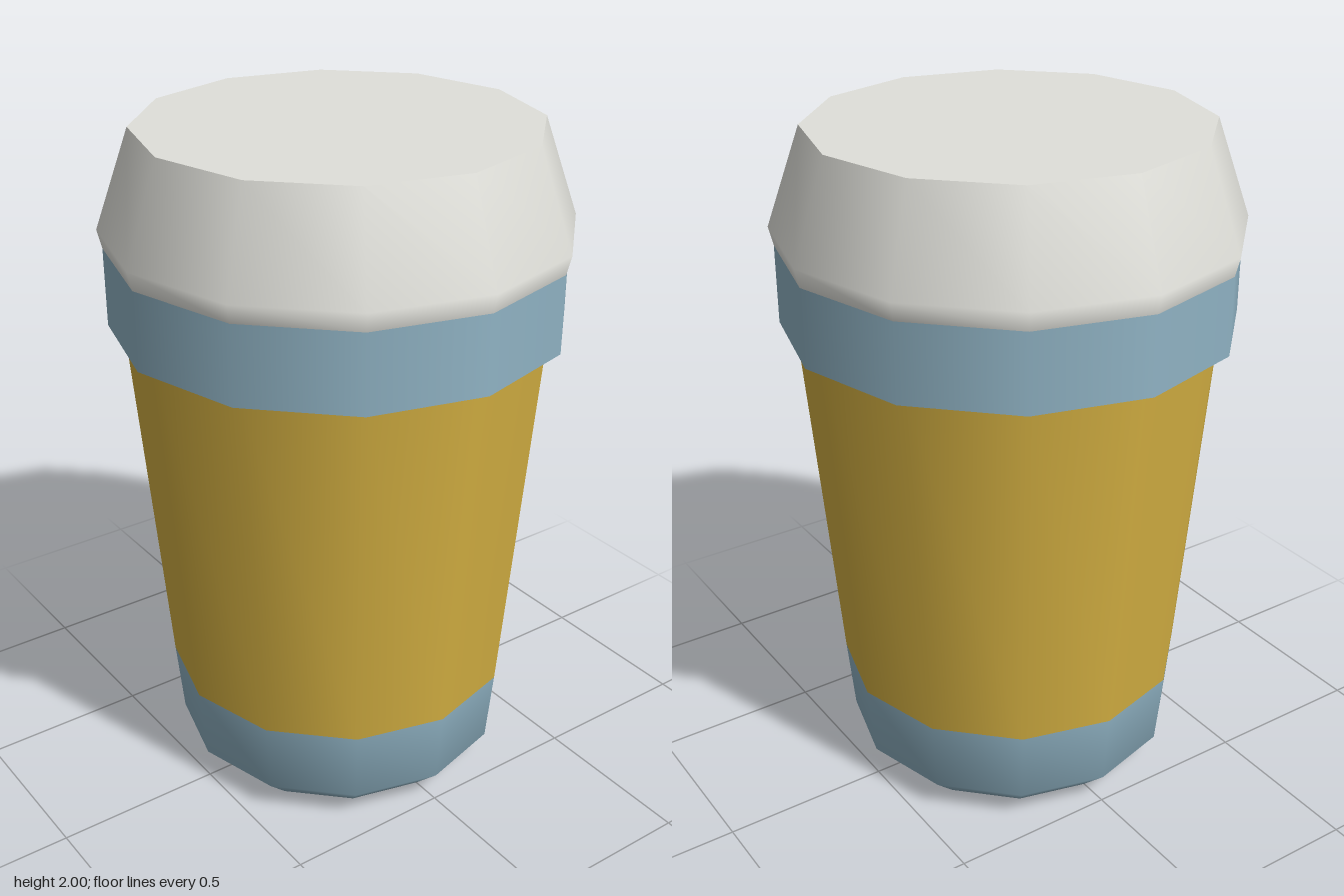
import * as THREE from 'three';

const SIDES = 12;

function material(name, color) {
  const m = new THREE.MeshStandardMaterial({ color });
  m.name = name;
  return m;
}

// Revolves a profile of [radius, height] pairs, listed from bottom to top
function turned(name, profile, mat) {
  const points = profile.map(([r, y]) => new THREE.Vector2(r, y));
  const mesh = new THREE.Mesh(new THREE.LatheGeometry(points, SIDES), mat);
  mesh.name = name;
  return mesh;
}

export function createModel() {
  const blue = material('dusty blue', 0x90b3c4);
  const yellow = material('mustard yellow', 0xd4b042);
  const white = material('warm white', 0xe0e0da);

  const cup = new THREE.Group();
  cup.name = 'lidded cup';
  cup.add(
    // Chamfered foot, shaded smoothly into the floor
    turned('base', [[0, 0], [0.41, 0], [0.503, 0.09], [0.524, 0.315]], blue),
    // Tapered wall
    turned('body', [[0.524, 0.315], [0.617, 1.43]], yellow),
    // Rim band with a crisp underside
    turned('bandUnderside', [[0.6, 1.43], [0.66, 1.43]], blue),
    turned('band', [[0.66, 1.43], [0.66, 1.66]], blue),
    // Domed lid with a flat top
    turned('lid', [[0.66, 1.66], [0.673, 1.715], [0.572, 2]], white),
    turned('lidTop', [[0.572, 2], [0, 2]], white),
  );
  return cup;
}
